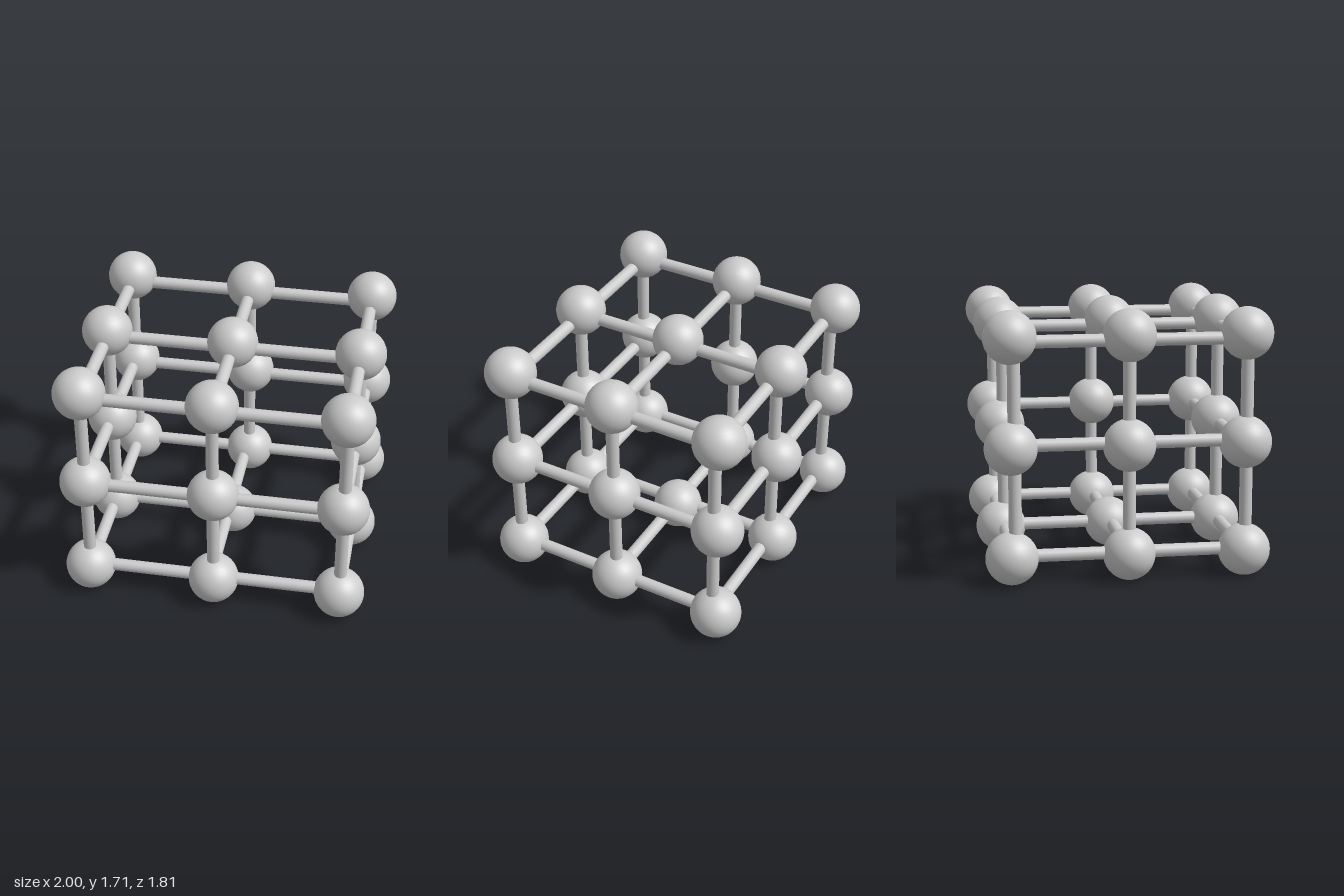
import * as THREE from 'three';

// Lattice of balls joined by rods; the middle of the cage is empty.
const R_BALL = 0.166, R_ROD = 0.041;
const X = [-0.834, 0, 0.834];
const Y = [0.17, 0.864, 1.549];
const Z = [-0.738, 0, 0.738];

// Rods sit slightly off the ball centres.
const ROD_Y_ALONG_X = [0.18, 0.848, 1.515];
const ROD_Z_ALONG_X = [-0.722, 0.005, 0.735];
const ROD_Y_ALONG_Z = [0.18, 0.868, 1.52];
const ROD_X_ALONG_Z = [-0.83, 0, 0.834];
const ROD_X_UPRIGHT = [-0.832, 0, 0.838];
const ROD_Z_UPRIGHT = [-0.715, 0, 0.745];

export function createModel() {
  const model = new THREE.Group();
  model.name = 'ballLattice';
  const material = new THREE.MeshStandardMaterial({ color: 0xcccccc });
  const ballGeometry = new THREE.SphereGeometry(R_BALL, 32, 20);
  const rodGeometry = new THREE.CylinderGeometry(R_ROD, R_ROD, 1, 20);
  const up = new THREE.Vector3(0, 1, 0);

  const groups = {};
  for (const name of ['balls', 'crossRods', 'depthRods', 'uprightRods']) {
    groups[name] = new THREE.Group();
    groups[name].name = name;
    model.add(groups[name]);
  }

  function addRod(group, name, from, to) {
    const a = new THREE.Vector3(...from), b = new THREE.Vector3(...to);
    const rod = new THREE.Mesh(rodGeometry, material);
    rod.name = name;
    rod.position.copy(a).add(b).multiplyScalar(0.5);
    rod.scale.y = a.distanceTo(b);
    rod.quaternion.setFromUnitVectors(up, b.sub(a).normalize());
    group.add(rod);
  }

  const isCentre = (i, j, k) => i === 1 && j === 1 && k === 1;

  for (let i = 0; i < 3; i++) for (let j = 0; j < 3; j++) for (let k = 0; k < 3; k++) {
    if (isCentre(i, j, k)) continue;

    // Ball at each lattice point
    const ball = new THREE.Mesh(ballGeometry, material);
    ball.name = 'ball';
    ball.position.set(X[i], Y[j], Z[k]);
    groups.balls.add(ball);

    // Rods to the next ball along each axis
    if (i < 2 && !isCentre(i + 1, j, k)) {
      const y = ROD_Y_ALONG_X[j], z = ROD_Z_ALONG_X[k];
      addRod(groups.crossRods, 'crossRod', [X[i], y, z], [X[i + 1], y, z]);
    }
    if (j < 2 && !isCentre(i, j + 1, k)) {
      const x = ROD_X_UPRIGHT[i], z = ROD_Z_UPRIGHT[k];
      addRod(groups.uprightRods, 'uprightRod', [x, Y[j], z], [x, Y[j + 1], z]);
    }
    if (k < 2 && !isCentre(i, j, k + 1)) {
      // The lower middle rods lie a touch to one side, the left and right middle ones differ in height
      const x = ROD_X_ALONG_Z[i] - (i === 1 && j === 0 ? 0.022 : 0);
      const y = ROD_Y_ALONG_Z[j] + (j === 1 ? (1 - i) * 0.011 : 0);
      addRod(groups.depthRods, 'depthRod', [x, y, Z[k]], [x, y, Z[k + 1]]);
    }
  }
  return model;
}
